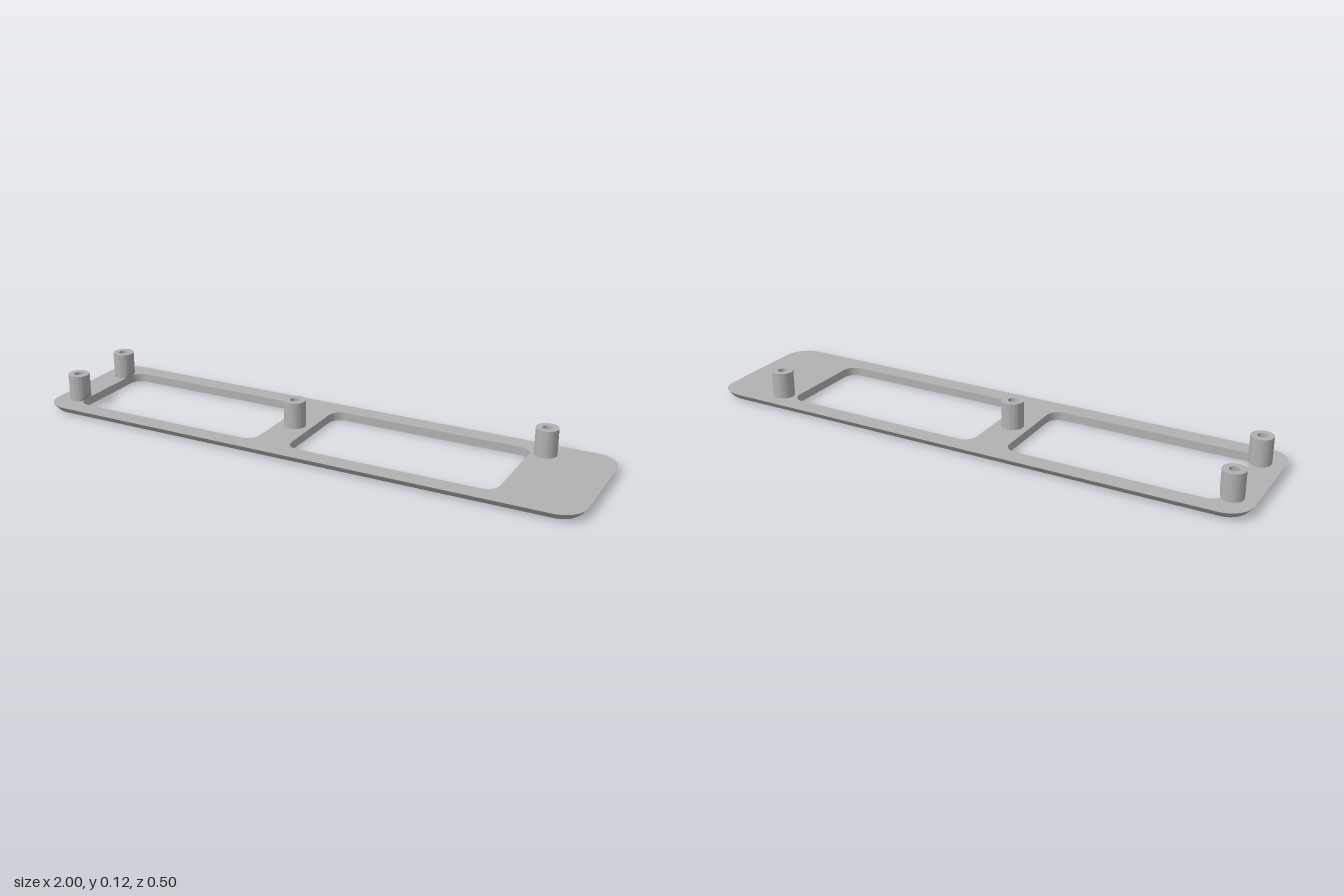
import * as THREE from 'three';
import { toCreasedNormals } from 'three/addons/utils/BufferGeometryUtils.js';

const TOP = 0.03;        // plate thickness
const POST_TOP = 0.125;
const HOLE_EDGE = -0.896;

// Counter-clockwise rounded rectangle with a fixed number of points per corner
function roundedRect(cx, halfW, halfD, r, steps = 10) {
  const pts = [];
  [[1, 1], [-1, 1], [-1, -1], [1, -1]].forEach(([sx, sy], q) => {
    for (let i = 0; i <= steps; i++) {
      const a = (q + i / steps) * Math.PI / 2;
      pts.push(new THREE.Vector2(
        cx + sx * (halfW - r) + r * Math.cos(a),
        sy * (halfD - r) + r * Math.sin(a)));
    }
  });
  return pts;
}

// Closed wall through a stack of outlines; top-to-bottom order faces inward
function wall(rings) {
  const n = rings[0].pts.length, pos = [], index = [];
  for (const { pts, y } of rings) for (const p of pts) pos.push(p.x, y, -p.y);
  for (let j = 0; j < rings.length - 1; j++) {
    for (let i = 0; i < n; i++) {
      const a = j * n + i, b = j * n + (i + 1) % n;
      index.push(a, b, b + n, a, b + n, a + n);
    }
  }
  const g = new THREE.BufferGeometry();
  g.setAttribute('position', new THREE.Float32BufferAttribute(pos, 3));
  g.setIndex(index);
  g.computeVertexNormals();
  return g;
}

export function createModel() {
  const group = new THREE.Group();
  const grey = new THREE.MeshStandardMaterial({ color: 0xb2b2b2 });
  grey.name = 'plain grey';
  const add = (name, geometry) => {
    const mesh = new THREE.Mesh(geometry, grey);
    mesh.name = name;
    group.add(mesh);
    return mesh;
  };

  // Rounded lower edge: [inset, height]
  const edge = [[0.038, 0], [0.03, 0.0015], [0.023, 0.005], [0.016, 0.0105],
    [0.009, 0.018], [0.004, 0.0245], [0, TOP]];
  const outline = inset => roundedRect(0, 1 - inset, 0.249 - inset, 0.085 - inset);
  add('plateRim', wall(edge.map(([inset, y]) => ({ pts: outline(inset), y }))));

  // Two window openings
  const openings = [[HOLE_EDGE, -0.154], [-0.03, 0.712]].map(([x0, x1]) =>
    roundedRect((x0 + x1) / 2, (x1 - x0) / 2, 0.183, 0.046));
  openings.forEach(pts => add('openingWall', wall([{ pts, y: TOP }, { pts, y: 0 }])));

  // Flat plate faces
  const face = inset => {
    const shape = new THREE.Shape(outline(inset));
    shape.holes = openings.map(pts => new THREE.Path(pts));
    return new THREE.ShapeGeometry(shape);
  };
  add('plateTop', face(0).rotateX(-Math.PI / 2).translate(0, TOP, 0));
  add('plateBottom', face(edge[0][0]).rotateX(Math.PI / 2));

  // Hollow screw posts
  const R = 0.0385, bore = 0.017;
  const profile = [[R, TOP], [R, 0.04], [R, 0.051], [R, POST_TOP], [bore, POST_TOP], [bore, TOP]]
    .map(p => new THREE.Vector2(...p));
  for (const [x, z] of [[-0.92, -0.137], [-0.92, 0.136], [-0.092, 0], [0.761, -0.165]]) {
    const g = new THREE.LatheGeometry(profile, 40).translate(x, 0, z);
    // Trim the foot of the end posts with a slope starting at the opening edge
    if (x < -0.5) {
      const p = g.attributes.position;
      for (let i = 0; i < p.count; i++) {
        const limit = HOLE_EDGE + (p.getY(i) - TOP) * 0.7;
        p.setX(i, Math.min(p.getX(i), limit));
      }
    }
    add('screwPost', toCreasedNormals(g, 0.5));
  }
  return group;
}
